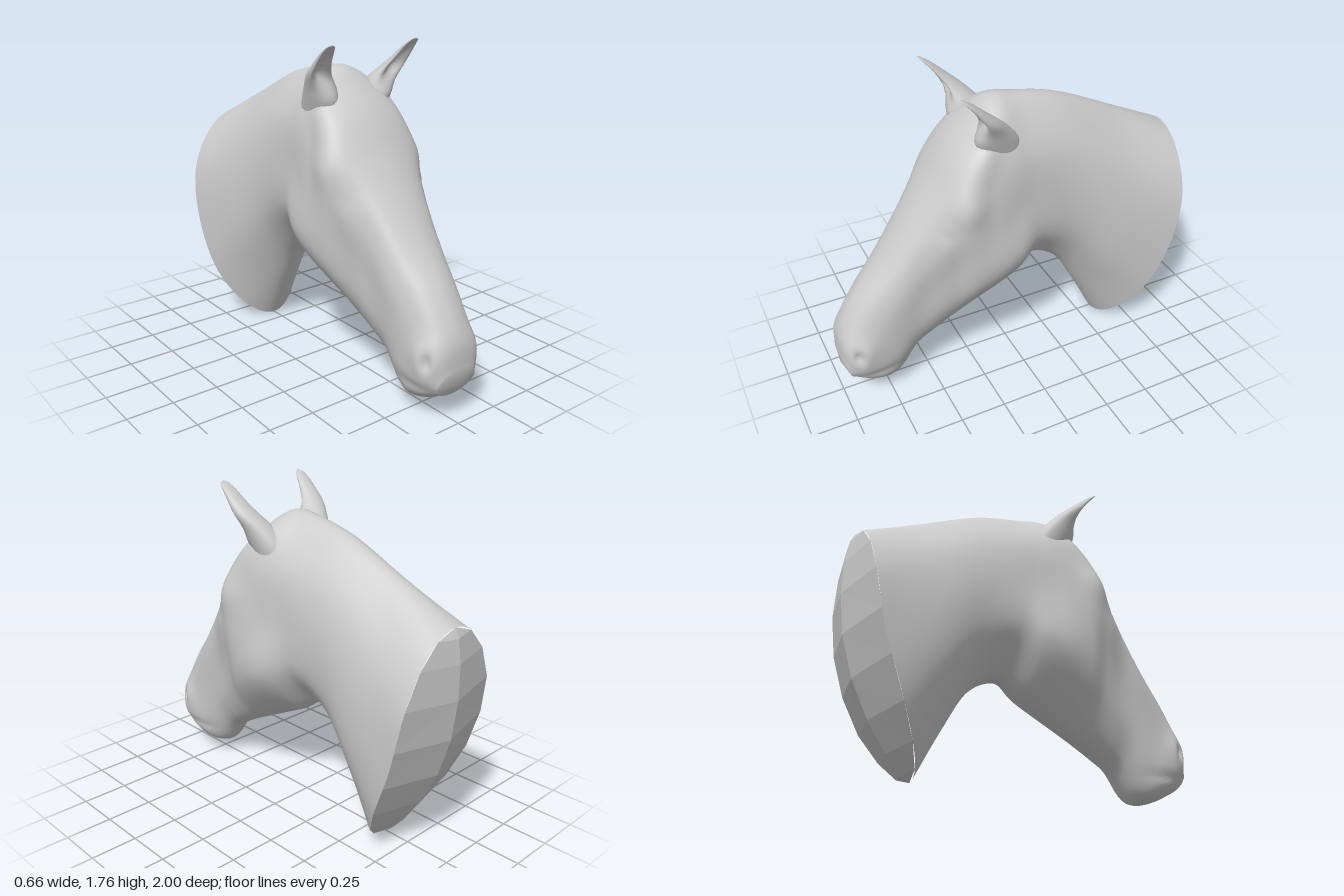
import * as THREE from 'three';

const V = (x, y, z) => new THREE.Vector3(x, y, z);
const smooth = new THREE.MeshStandardMaterial({ color: 0xcccccc });
const faceted = new THREE.MeshStandardMaterial({ color: 0xcccccc, flatShading: true });

// Head and neck sections, neck to lips: top z, y, bottom z, y, then half widths from top to bottom
const SECTIONS = [
  [-0.96, 1.23, -0.59, 0.00, 0.18, 0.31, 0.33, 0.29, 0.16],
  [-0.65, 1.38, -0.45, 0.27, 0.11, 0.24, 0.29, 0.26, 0.13],
  [-0.30, 1.54, -0.31, 0.50, 0.10, 0.21, 0.25, 0.22, 0.11],
  [-0.05, 1.60, -0.14, 0.59, 0.11, 0.225, 0.25, 0.23, 0.10],
  [0.09, 1.61, 0.00, 0.51, 0.155, 0.25, 0.265, 0.27, 0.13],
  [0.21, 1.52, 0.13, 0.445, 0.215, 0.268, 0.285, 0.27, 0.13],
  [0.33, 1.40, 0.27, 0.375, 0.215, 0.29, 0.285, 0.25, 0.12],
  [0.44, 1.23, 0.38, 0.32, 0.185, 0.26, 0.235, 0.20, 0.11],
  [0.57, 1.04, 0.48, 0.265, 0.15, 0.20, 0.19, 0.17, 0.10],
  [0.72, 0.83, 0.57, 0.205, 0.125, 0.178, 0.175, 0.15, 0.09],
  [0.85, 0.67, 0.66, 0.085, 0.11, 0.16, 0.17, 0.15, 0.09],
  [0.94, 0.53, 0.74, 0.06, 0.10, 0.155, 0.175, 0.155, 0.10],
  [0.99, 0.41, 0.84, 0.085, 0.10, 0.15, 0.165, 0.145, 0.09],
  [1.00, 0.28, 0.95, 0.14, 0.07, 0.105, 0.12, 0.105, 0.06],
];
const BOW = [0.11, 0.06, 0.02];   // how far the neck sections curve backwards

// Sideways swells and hollows: y, z, radius y, radius z, amount
const BUMPS = [
  [1.17, 0.34, 0.09, 0.10, 0.02],     // brow
  [1.05, 0.43, 0.05, 0.05, -0.012],   // eye socket
  [1.06, 0.425, 0.025, 0.03, 0.012],  // eye
  [0.80, 0.14, 0.20, 0.14, 0.015],    // cheek
  [0.36, 0.90, 0.08, 0.06, 0.018],    // nostril rim
  [0.34, 0.925, 0.04, 0.025, -0.028], // nostril
  [0.19, 0.82, 0.025, 0.12, -0.01],   // mouth
];

// Skin over closed rings; the last ring closes on the tip
function loft(rings, tip) {
  const n = rings[0].length, pts = rings.flat(), index = [];
  const last = rings.length - 1, tipIndex = pts.length;
  for (let i = 0; i <= last; i++) for (let j = 0; j < n; j++) {
    const a = i * n + j, c = i * n + (j + 1) % n;
    if (i < last) index.push(a, a + n, c, a + n, c + n, c);
    else index.push(a, tipIndex, c);
  }
  const geo = new THREE.BufferGeometry().setFromPoints([...pts, tip]);
  geo.setIndex(index);
  geo.computeVertexNormals();
  return geo;
}

function sectionRing([tz, ty, bz, by, ...widths], s, n) {
  const len = Math.hypot(bz - tz, by - ty), bow = BOW[s] || 0;
  const half = [0, ...widths, 0], ctrl = [];
  for (let k = 0; k < 12; k++) {
    const m = k <= 6 ? k : 12 - k;
    const t = (1 - Math.cos(m * Math.PI / 6)) / 2;
    const b = bow * Math.sin(Math.PI * t) / len;
    ctrl.push(V((k <= 6 ? 1 : -1) * half[m],
      ty + (by - ty) * t - (bz - tz) * b,
      tz + (bz - tz) * t + (by - ty) * b));
  }
  const curve = new THREE.CatmullRomCurve3(ctrl, true, 'catmullrom', 0.5);
  return Array.from({ length: n }, (_, j) => curve.getPoint(j / n));
}

function sculpt(p) {
  let d = 0;
  for (const [y, z, ry, rz, amount] of BUMPS)
    d += amount * Math.exp(-(((p.y - y) / ry) ** 2) - ((p.z - z) / rz) ** 2);
  p.x += Math.sign(p.x) * d * Math.min(1, Math.abs(p.x) / 0.1);
  return p;
}

function headRings(n, steps) {
  const base = SECTIONS.map((s, i) => sectionRing(s, i, n));
  const rails = base[0].map((_, j) =>
    new THREE.CatmullRomCurve3(base.map(r => r[j]), false, 'catmullrom', 0.5));
  return Array.from({ length: steps + 1 }, (_, i) => rails.map(c => sculpt(c.getPoint(i / steps))));
}

// Faceted, slightly ridged face closing the neck
function neckCap(rim) {
  const n = rim.length, step = 4, tris = [];
  const spine = k => {
    const b = 0.07 * Math.sin(Math.PI * k / (n / 2));
    return V(0, rim[k].y - 0.3 * b, rim[k].z - b);
  };
  for (let k = 0; k < n / 2; k += step) {
    const m0 = spine(k), m1 = spine(k + step);
    const r0 = rim[k], r1 = rim[k + step], l0 = rim[(n - k) % n], l1 = rim[n - k - step];
    tris.push(m0, r0, r1, m0, r1, m1, m0, l1, l0, m0, m1, l1);
  }
  const geo = new THREE.BufferGeometry().setFromPoints(tris);
  geo.computeVertexNormals();
  return geo;
}

// Cupped ear rooted in the poll: centre x, y, z, radius x, radius z, hollow depth
function ear(side) {
  const path = [
    [0.13, 1.34, 0.07, 0.08, 0.11, 0],
    [0.165, 1.45, 0.125, 0.08, 0.115, 0],
    [0.192, 1.53, 0.16, 0.078, 0.088, 0.3],
    [0.232, 1.60, 0.205, 0.066, 0.062, 1.2],
    [0.25, 1.66, 0.255, 0.05, 0.042, 1.6],
    [0.258, 1.715, 0.303, 0.038, 0.025, 1.4],
    [0.262, 1.745, 0.335, 0.025, 0.012, 0.8],
  ];
  const rails = Array.from({ length: 24 }, (_, j) => {
    const a = side * j / 24 * Math.PI * 2, s = Math.sin(a);
    return new THREE.CatmullRomCurve3(path.map(([x, y, z, rx, rz, cup]) =>
      V(side * (x + rx * Math.cos(a)), y, z + rz * (s > 0 ? s * (1 - cup * s * s) : s))),
    false, 'catmullrom', 0.5);
  });
  const rings = Array.from({ length: 19 }, (_, i) => rails.map(c => c.getPoint(i / 18)));
  return loft(rings, V(side * 0.262, 1.757, 0.35));
}

export function createModel() {
  const model = new THREE.Group();
  model.name = 'horseHead';
  const add = (name, geo, mat) => {
    const mesh = new THREE.Mesh(geo, mat);
    mesh.name = name;
    model.add(mesh);
  };
  const rings = headRings(72, 104);
  add('headAndNeck', loft(rings, V(0, 0.21, 0.995)), smooth);
  add('neckCap', neckCap(rings[0]), faceted);
  add('leftEar', ear(1), smooth);
  add('rightEar', ear(-1), smooth);
  return model;
}
